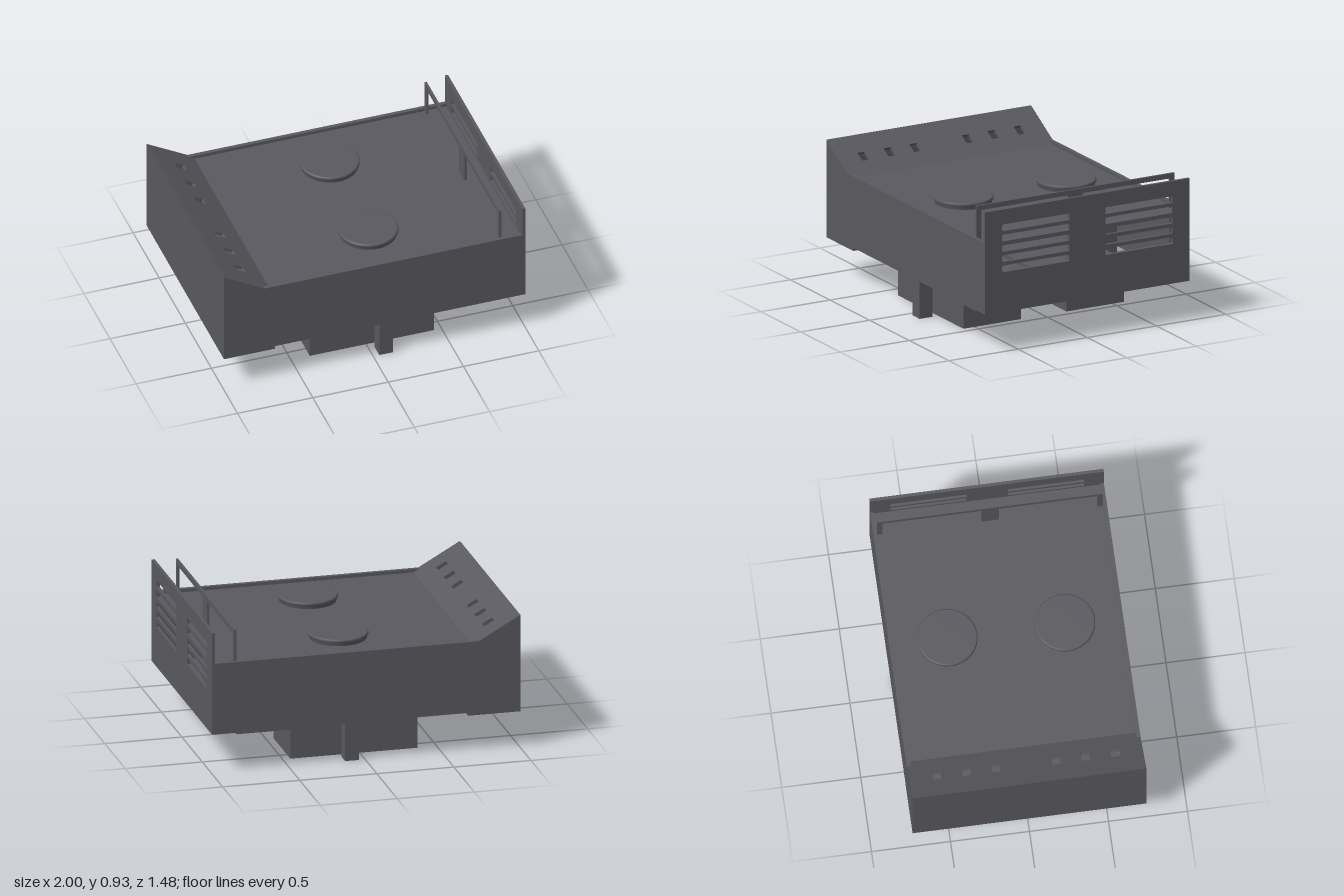
import * as THREE from 'three';

const metal = new THREE.MeshStandardMaterial({ color: 0x5a595f });
metal.name = 'darkGreyMetal';

function outline(points, Type = THREE.Shape) {
  return new Type(points.map(([a, b]) => new THREE.Vector2(a, b)));
}
const rect = (a0, a1, b0, b1, Type) => outline([[a0, b0], [a1, b0], [a1, b1], [a0, b1]], Type);

// Rectangle with small rounded corners, used as a hole
function roundedHole(a0, a1, b0, b1, r) {
  const p = new THREE.Path();
  p.moveTo(a0 + r, b0).lineTo(a1 - r, b0).quadraticCurveTo(a1, b0, a1, b0 + r);
  p.lineTo(a1, b1 - r).quadraticCurveTo(a1, b1, a1 - r, b1);
  p.lineTo(a0 + r, b1).quadraticCurveTo(a0, b1, a0, b1 - r);
  p.lineTo(a0, b0 + r).quadraticCurveTo(a0, b0, a0 + r, b0);
  return p;
}

const extrude = (shape, depth) =>
  new THREE.ExtrudeGeometry(shape, { depth, bevelEnabled: false, curveSegments: 4 });

export function createModel() {
  const model = new THREE.Group();
  model.name = 'controlHousing';

  const add = (name, geometry, x = 0, y = 0, z = 0) => {
    const mesh = new THREE.Mesh(geometry, metal);
    mesh.name = name;
    mesh.position.set(x, y, z);
    model.add(mesh);
    return mesh;
  };
  const box = (name, x0, x1, y0, y1, z0, z1) =>
    add(name, new THREE.BoxGeometry(x1 - x0, y1 - y0, z1 - z0), (x0 + x1) / 2, (y0 + y1) / 2, (z0 + z1) / 2);
  // Upright plate drawn in (z, y), its outer face at x1
  const crossPlate = (name, shape, x1, depth) =>
    add(name, extrude(shape, depth).rotateY(-Math.PI / 2), x1);
  // Flat plate drawn in (x, z), its upper face at top
  const flatPlate = (name, shape, top, depth) =>
    add(name, extrude(shape, depth).rotateX(Math.PI / 2), 0, top);

  const wall = 0.025, W = 0.74, inner = W - wall;

  // Long side walls with the raised, sloping end
  const side = outline([[-1, 0.24], [-0.66, 0.24], [-0.66, 0.26], [0.98, 0.26],
    [0.98, 0.728], [-0.73, 0.728], [-1, 0.88]]);
  add('frontWall', extrude(side, wall), 0, 0, inner);
  add('backWall', extrude(side, wall), 0, 0, -W);

  // Closed end wall and the floor strip beside it
  const end = outline([[-1, 0.24], [-0.98, 0.24], [-0.98, 0.869], [-1, 0.88]]);
  add('raisedEndWall', extrude(end, inner * 2), 0, 0, -inner);
  box('endFloor', -0.98, -0.66, 0.24, 0.26, -inner, inner);

  // Sloping panel with six square openings
  const slope = Math.atan2(0.152, 0.27), c = Math.cos(slope), s = Math.sin(slope);
  const panel = rect(0, 0.29 / c, -inner, inner);
  for (const z of [0.19, 0.375, 0.565])
    for (const m of [-1, 1])
      panel.holes.push(roundedHole(0.115 / c, 0.178 / c, m * z - 0.027, m * z + 0.027, 0.005));
  const slopedPanel = add('slopedPanel', extrude(panel, 0.02).translate(0, 0, -0.02));
  slopedPanel.quaternion.setFromRotationMatrix(new THREE.Matrix4().makeBasis(
    new THREE.Vector3(-c, s, 0), new THREE.Vector3(0, 0, 1), new THREE.Vector3(s, c, 0)));
  slopedPanel.position.set(-0.69, 0.7055, 0);

  // Recessed deck
  box('deck', -0.7, 0.98, 0.69, 0.706, -inner, inner);

  // Vented end panel: two columns of five slots
  const vent = rect(-W, W, 0.26, 0.932);
  for (const y of [0.521, 0.588, 0.655, 0.723, 0.79])
    for (const z0 of [-0.615, 0.13])
      vent.holes.push(roundedHole(z0, z0 + 0.485, y, y + 0.044, 0.008));
  crossPlate('ventPanel', vent, 1, 0.02);

  // Thin frame standing behind the vents, with a centre post
  const frame = rect(-inner, inner, 0.26, 0.932);
  for (const z0 of [-0.68, 0.055])
    frame.holes.push(rect(z0, z0 + 0.625, 0.28, 0.9, THREE.Path));
  crossPlate('innerFrame', frame, 0.85, 0.015);

  // Round lids with softened rims
  const lidProfile = [[0, 0.75], [0.18, 0.75], [0.186, 0.748], [0.19, 0.742],
    [0.19, 0.732], [0.184, 0.727], [0.18, 0.706]].reverse();
  const lid = new THREE.LatheGeometry(lidProfile.map(([r, y]) => new THREE.Vector2(r, y)), 64);

  // Slotted bottom of each hanging box
  const boxBase = rect(-0.375, 0.45, -0.2075, 0.2075);
  boxBase.holes.push(rect(-0.28, 0.36, -0.01, 0.01, THREE.Path));
  const boxRing = rect(-0.375, 0.45, -0.2075, 0.2075);
  boxRing.holes.push(rect(-0.36, 0.435, -0.1925, 0.1925, THREE.Path));

  for (const m of [-1, 1]) {
    add('roundLid', lid, 0.085, 0, m * 0.372);

    // Bottom plate with a long notch along its outer edge
    flatPlate('bottomPlate', outline([[-0.66, m * 0.02], [0.835, m * 0.02], [0.835, m * inner],
      [0.32, m * inner], [0.32, m * 0.615], [-0.66, m * 0.615]]), 0.26, 0.02);

    flatPlate('boxBottom', boxBase, 0.015, 0.015).position.z = m * 0.372;
    flatPlate('boxWalls', boxRing, 0.24, 0.225).position.z = m * 0.372;

    // Square foot rising through the notch
    const z0 = m * 0.62, z1 = m * 0.714;
    box('foot', 0.04, 0.13, 0, 0.5, Math.min(z0, z1), Math.max(z0, z1));
  }
  return model;
}
